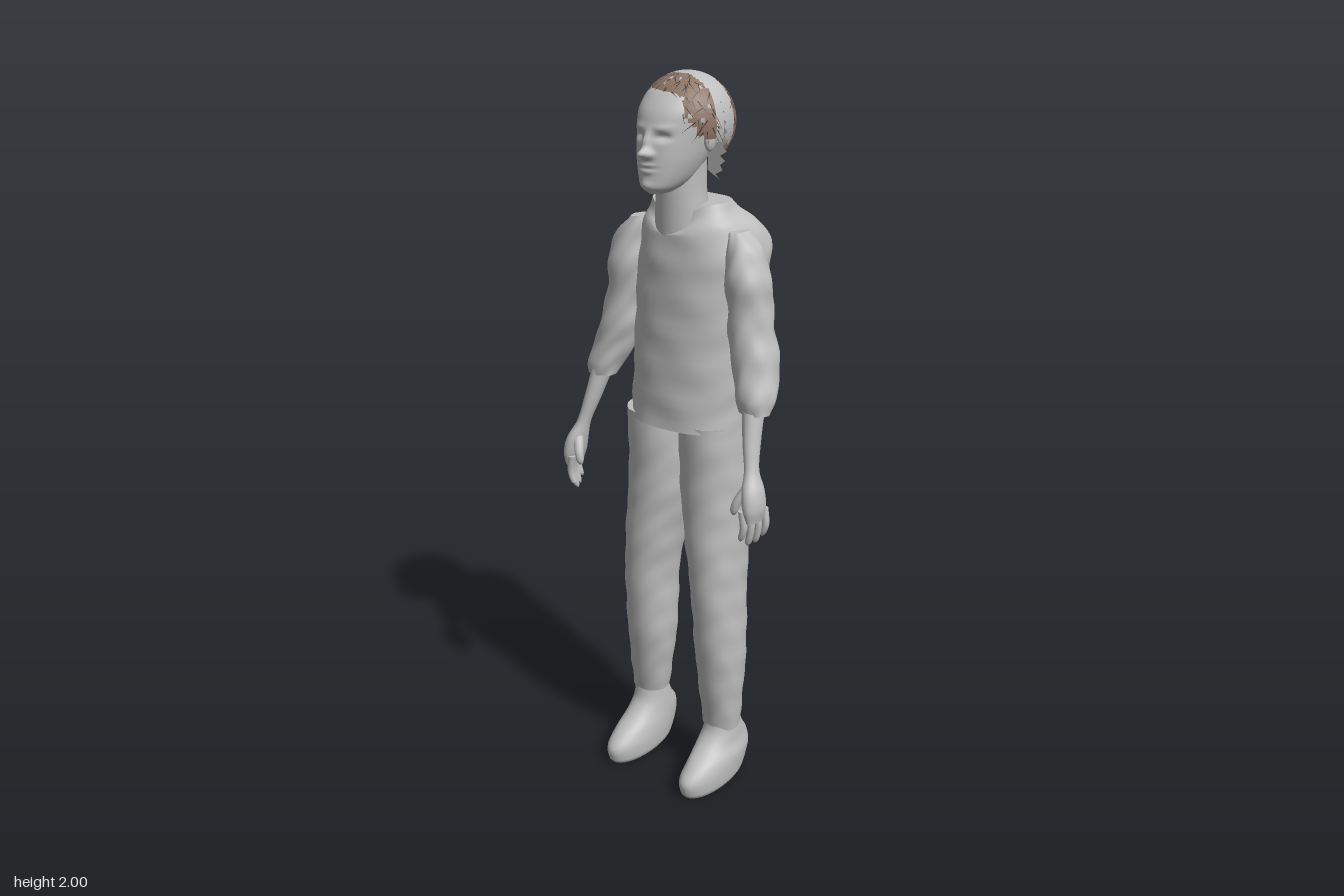
import * as THREE from 'three';

const mat = (name, color, side = THREE.FrontSide) => {
  const m = new THREE.MeshStandardMaterial({ color, side });
  m.name = name;
  return m;
};

// Smooth closed body from horizontal sections [y, x, z, halfWidth, halfDepth], bottom to top.
function loft(sections, { n = 32, steps = 6, power = 2, rule = null } = {}) {
  const centre = new THREE.CatmullRomCurve3(sections.map(([y, x, z]) => new THREE.Vector3(x, y, z)));
  const radius = new THREE.CatmullRomCurve3(sections.map(([y, , , a, b]) => new THREE.Vector3(a, b, y)));
  const rows = (sections.length - 1) * steps;
  const pos = [], idx = [];
  const ring = (t) => {
    const c = centre.getPoint(t), r = radius.getPoint(t);
    for (let j = 0; j < n; j++) {
      const a = (j / n) * Math.PI * 2, ca = Math.cos(a), sa = Math.sin(a);
      const v = new THREE.Vector3(
        c.x + r.x * Math.sign(ca) * Math.abs(ca) ** (2 / power), c.y,
        c.z + r.y * Math.sign(sa) * Math.abs(sa) ** (2 / power));
      if (rule) rule(v, a);
      pos.push(v.x, v.y, v.z);
    }
    return c;
  };
  for (let i = 0; i <= rows; i++) ring(i / rows);
  for (let i = 0; i < rows; i++) for (let j = 0; j < n; j++) {
    const a = i * n + j, b = i * n + (j + 1) % n;
    idx.push(a, a + n, b, b, a + n, b + n);
  }
  // end caps with their own vertices so the rim stays sharp
  for (const t of [0, 1]) {
    const start = pos.length / 3, c = ring(t);
    pos.push(c.x, c.y, c.z);
    for (let j = 0; j < n; j++) {
      const a = start + j, b = start + (j + 1) % n;
      t ? idx.push(start + n, b, a) : idx.push(start + n, a, b);
    }
  }
  const g = new THREE.BufferGeometry();
  g.setAttribute('position', new THREE.Float32BufferAttribute(pos, 3));
  g.setIndex(idx);
  g.computeVertexNormals();
  return g;
}

// Gentle cloth wrinkles
const wrinkle = (amount, cx = 0) => (v, a) => {
  const d = amount * Math.sin(v.y * 55 + 2 * Math.sin(a * 2 + cx * 9)) * Math.sin(a * 3 + v.y * 14);
  v.x += d * Math.cos(a);
  v.z += d * Math.sin(a);
};

export function createModel() {
  const model = new THREE.Group();
  const grey = mat('grey', 0xbebebe);
  const greyThin = mat('greyHair', 0xbebebe, THREE.DoubleSide);
  const brown = mat('brownHair', 0x8d7565, THREE.DoubleSide);
  const dark = mat('darkStrands', 0x40362f, THREE.DoubleSide);
  let seed = 7;
  const rand = () => (seed = (seed * 16807) % 2147483647) / 2147483647;
  const add = (name, geo, material = grey, parent = model) => {
    const m = new THREE.Mesh(geo, material);
    m.name = name;
    parent.add(m);
    return m;
  };

  // Shirt, with a scooped front neckline
  const folds = wrinkle(0.0025);
  add('shirt', loft([
    [1.085, 0.006, -0.012, 0.176, 0.143], [1.2, 0.008, -0.02, 0.177, 0.144],
    [1.35, 0.01, -0.03, 0.178, 0.145], [1.5, 0.013, -0.042, 0.178, 0.148],
    [1.575, 0.014, -0.05, 0.17, 0.15], [1.625, 0.01, -0.032, 0.15, 0.122],
    [1.655, 0.004, -0.015, 0.122, 0.093], [1.678, 0.002, -0.008, 0.11, 0.078],
  ], {
    n: 48, power: 2.25, rule: (v, a) => {
      folds(v, a);
      if (v.y > 1.6 && v.z > 0) v.y -= 0.05 * Math.exp(-((v.x / 0.06) ** 2)) * Math.min(1, (v.y - 1.6) / 0.05) * Math.min(1, v.z / 0.05);
    },
  }));

  // Neck
  add('neck', loft([[1.58, 0, 0.03, 0.075, 0.065], [1.66, 0, 0.03, 0.07, 0.067],
    [1.71, 0, 0.033, 0.066, 0.066], [1.79, 0, 0.035, 0.066, 0.066]]));

  // Head: [x, y, spreadX, spreadY, push forward]
  const features = [
    [0, 1.812, 0.011, 0.012, 0.032], [0, 1.84, 0.009, 0.022, 0.016],
    [-0.015, 1.808, 0.008, 0.008, 0.009], [0.015, 1.808, 0.008, 0.008, 0.009],
    [-0.037, 1.851, 0.017, 0.009, -0.013], [0.037, 1.851, 0.017, 0.009, -0.013],
    [-0.037, 1.873, 0.022, 0.007, 0.004], [0.037, 1.873, 0.022, 0.007, 0.004],
    [0, 1.781, 0.02, 0.005, 0.007], [0, 1.768, 0.018, 0.005, 0.007],
    [0, 1.775, 0.026, 0.003, -0.006], [0, 1.732, 0.02, 0.012, 0.006],
  ];
  const headRows = [ // y, half width, front z, back z
    [1.71, 0.022, 0.15, 0.08], [1.725, 0.045, 0.166, 0.045], [1.75, 0.062, 0.168, 0.0],
    [1.79, 0.077, 0.166, -0.035], [1.83, 0.086, 0.163, -0.068], [1.87, 0.092, 0.157, -0.085],
    [1.91, 0.096, 0.144, -0.087], [1.95, 0.083, 0.112, -0.068], [1.975, 0.05, 0.07, -0.035],
    [1.987, 0.01, 0.03, 0.01],
  ];
  add('head', loft(headRows.map(([y, w, f, b]) => [y, 0, (f + b) / 2, w, (f - b) / 2]), {
    n: 96, steps: 9, power: 2.15, rule: (v) => {
      if (v.z < 0.06) return;
      for (const [x, y, sx, sy, d] of features) v.z += d * Math.exp(-(((v.x - x) / sx) ** 2) - ((v.y - y) / sy) ** 2);
    },
  }));

  for (const s of [-1, 1]) {
    const side = s > 0 ? 'left' : 'right';
    const mirror = (rows) => rows.map(([y, x, ...r]) => [y, x * s, ...r]);

    // Eye and ear
    const eye = add(side + 'Eye', new THREE.SphereGeometry(0.0115, 16, 12));
    eye.scale.set(1.15, 0.7, 0.7);
    eye.position.set(s * 0.036, 1.85, 0.131);
    const ear = add(side + 'Ear', new THREE.SphereGeometry(0.03, 16, 12));
    ear.scale.set(0.4, 1.05, 0.65);
    ear.position.set(s * 0.094, 1.84, 0.035);

    // Sleeve, rolled at the elbow
    const arm = new THREE.Group();
    arm.name = side + 'Arm';
    model.add(arm);
    add('sleeve', loft(mirror([
      [1.168, 0.264, 0.06, 0.043, 0.032], [1.205, 0.257, 0.043, 0.053, 0.05],
      [1.3, 0.228, 0.015, 0.062, 0.064], [1.4, 0.207, 0.007, 0.058, 0.061],
      [1.5, 0.197, 0.007, 0.058, 0.062], [1.57, 0.183, 0.005, 0.045, 0.05],
      [1.615, 0.163, 0.004, 0.02, 0.034],
    ]), { rule: wrinkle(0.004, s) }), grey, arm);

    // Forearm and palm
    add('forearmAndPalm', loft(mirror([
      [0.905, 0.319, 0.125, 0.014, 0.032], [0.94, 0.316, 0.124, 0.024, 0.04],
      [0.985, 0.308, 0.12, 0.025, 0.036], [1.03, 0.294, 0.108, 0.018, 0.023],
      [1.1, 0.277, 0.087, 0.022, 0.027], [1.2, 0.258, 0.055, 0.03, 0.034],
    ]), { n: 20 }), grey, arm);

    // Fingers and thumb
    for (let i = 0; i < 4; i++) {
      const z = 0.096 + i * 0.019, x = 0.333 - i * 0.009, tip = [0.853, 0.838, 0.834, 0.85][i];
      add('finger', loft(mirror([
        [tip, x - 0.012, z - 0.002, 0.003, 0.003], [tip + 0.008, x - 0.009, z, 0.008, 0.008],
        [0.89, x, z + 0.001, 0.01, 0.01], [0.935, x - 0.006, z, 0.011, 0.011],
      ]), { n: 10, steps: 4 }), grey, arm);
    }
    add('thumb', loft(mirror([
      [0.917, 0.27, 0.15, 0.004, 0.004], [0.928, 0.272, 0.151, 0.01, 0.01],
      [0.955, 0.279, 0.147, 0.013, 0.013], [1.0, 0.3, 0.126, 0.014, 0.016],
    ]), { n: 12, steps: 4 }), grey, arm);

    // Trouser leg; the left one hangs a little lower and narrower
    const L = s > 0;
    add(side + 'TrouserLeg', loft([
      [L ? 0.165 : 0.195, L ? 0.122 : -0.145, 0.003, 0.054, 0.049],
      [0.4, L ? 0.124 : -0.13, 0.012, 0.069, 0.073], [0.6, L ? 0.118 : -0.125, 0.015, 0.071, 0.086],
      [0.75, L ? 0.106 : -0.11, 0.008, 0.081, 0.096], [0.9, s * 0.094, -0.01, 0.094, 0.111],
      [1.1, s * 0.09, -0.011, 0.092, 0.122],
    ], { steps: 10, power: 2.15, rule: wrinkle(0.002, s) }));

    // Foot with a flat sole
    const fx = L ? 0.132 : -0.145, ax = L ? 0.124 : -0.146;
    add(side + 'Foot', loft([
      [0, fx, 0.065, 0.046, 0.11], [0.012, fx, 0.06, 0.052, 0.125], [0.05, fx, 0.052, 0.056, 0.137],
      [0.085, fx, 0.03, 0.055, 0.124], [0.12, ax, 0.004, 0.053, 0.094],
      [0.155, ax, -0.002, 0.05, 0.064], [0.21, ax, 0.002, 0.044, 0.045],
    ], { power: 2.1 }));

    // Ragged hair tuft beside the face
    const tuft = new THREE.Shape();
    tuft.moveTo(s * 0.08, 1.93);
    for (let i = 0; i <= 16; i++) {
      const t = i / 16;
      tuft.lineTo(s * (0.102 + 0.036 * Math.sin(Math.PI * Math.min(1, 0.15 + t * 0.75)) - (i % 2) * (0.008 + rand() * 0.012)), 1.93 - t * 0.19);
    }
    tuft.lineTo(s * 0.075, 1.76);
    add(side + 'HairTuft', new THREE.ShapeGeometry(tuft), greyThin).position.z = 0.02;
  }

  // Hair shell: patches of an ellipsoid sorted into front, band and back
  const hairPoint = (u, v, k = 1) => new THREE.Vector3(
    0.004 + 0.123 * k * Math.sin(v) * Math.cos(u),
    Math.min(2, 1.875 + 0.122 * k * Math.cos(v)),
    0.013 + 0.122 * k * Math.sin(v) * Math.sin(u));
  const region = (p) => {
    if (p.z > 0.04) return p.y > 1.915 - Math.max(0, Math.abs(p.x) - 0.06) * 1.3 ? 'front' : null;
    if (p.z < -0.03) return p.y > 1.785 ? 'back' : null;
    return p.y > 1.83 ? 'band' : null;
  };
  const tris = { front: [], back: [], band: [], strands: [] };
  const U = 72, V = 36;
  for (let i = 0; i < U; i++) for (let j = 0; j < V; j++) {
    const at = (a, b) => hairPoint((a / U) * Math.PI * 2, (b / V) * Math.PI);
    const mid = at(i + 0.5, j + 0.5);
    mid.y += (rand() - 0.5) * 0.02;
    const r = region(mid);
    if (!r || (r !== 'band' && rand() < 0.05)) continue;
    const a = at(i, j), b = at(i + 1, j), c = at(i + 1, j + 1), d = at(i, j + 1);
    for (const p of [a, b, c, a, c, d]) tris[r].push(p.x, p.y, p.z);
  }

  // Loose dark strands lying across the brown hair
  for (let i = 0; i < 330; i++) {
    const u = rand() * Math.PI * 2, v = Math.acos(1 - rand() * 1.6);
    const r = region(hairPoint(u, v));
    if (!r || r === 'band') continue;
    const a = hairPoint(u, v, 1.01), b = hairPoint(u + (rand() - 0.5) * 0.7, v + 0.15 + rand() * 0.25, 1.04);
    const w = b.clone().sub(a).cross(a.clone().sub(new THREE.Vector3(0, 1.875, 0.013))).setLength(0.0014);
    for (const p of [a.clone().add(w), a.clone().sub(w), b]) tris.strands.push(p.x, p.y, p.z);
  }
  const hair = new THREE.Group();
  hair.name = 'hair';
  model.add(hair);
  for (const [name, m] of [['front', brown], ['back', brown], ['band', greyThin], ['strands', dark]]) {
    const g = new THREE.BufferGeometry();
    g.setAttribute('position', new THREE.Float32BufferAttribute(tris[name], 3));
    g.computeVertexNormals();
    add(name + 'Hair', g, m, hair);
  }
  return model;
}
